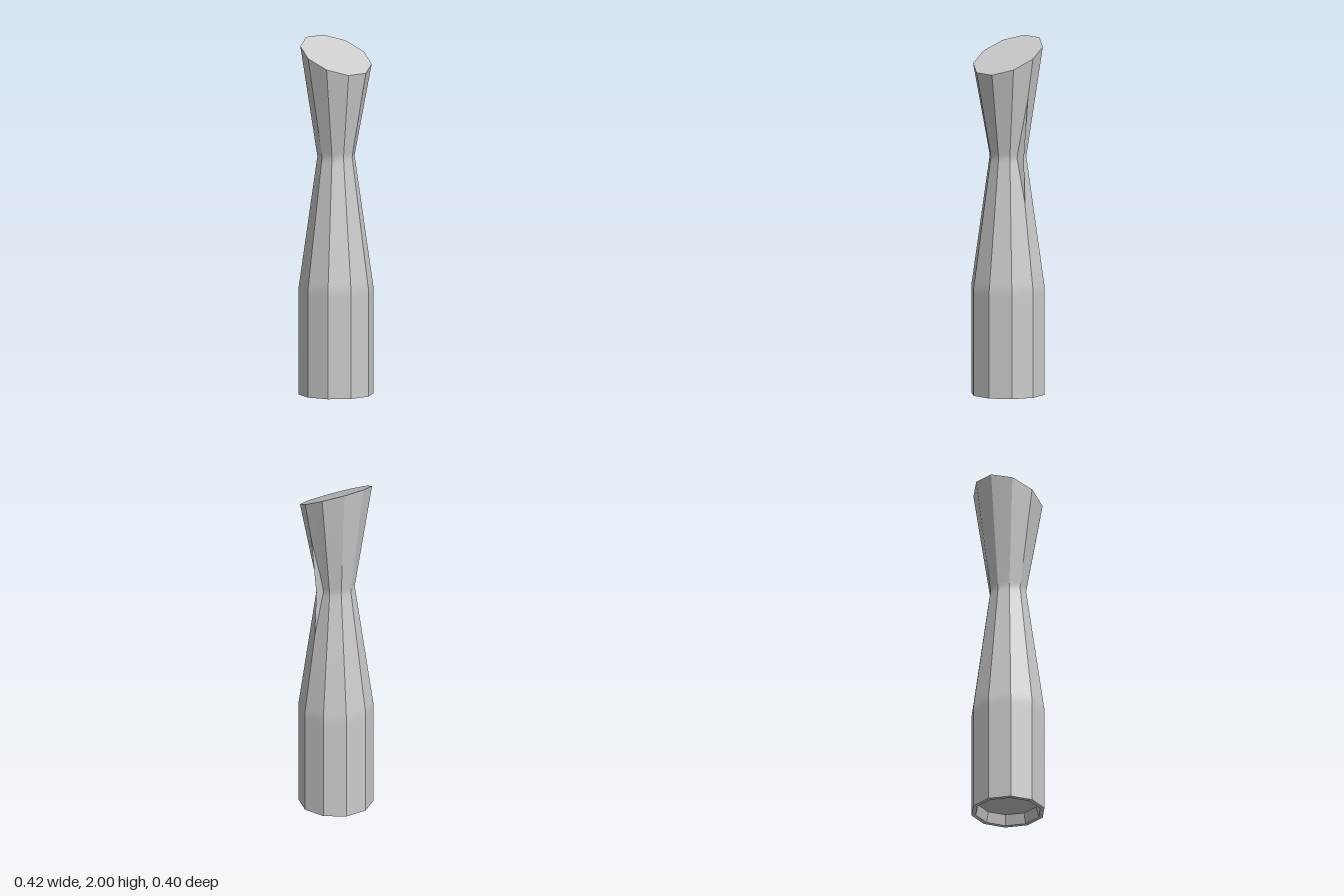
import * as THREE from 'three';
import { toCreasedNormals } from 'three/addons/utils/BufferGeometryUtils.js';

const SIDES = 10;
const material = new THREE.MeshStandardMaterial({ color: 0xcccccc, side: THREE.DoubleSide });

// A ten-sided ring; tilt slopes it down towards the front
function ring(y, r, depth = 1, tilt = 0) {
  return Array.from({ length: SIDES }, (_, i) => {
    const a = (i / SIDES) * Math.PI * 2;
    const z = Math.sin(a) * r * depth;
    return [Math.cos(a) * r, y - tilt * z, z];
  });
}

// Joins successive loops of points with quads
function loft(name, rings) {
  const n = rings[0].length, index = [];
  for (let j = 0; j < rings.length - 1; j++) {
    for (let i = 0; i < n; i++) {
      const a = j * n + i, b = j * n + (i + 1) % n;
      index.push(a, a + n, b, b, a + n, b + n);
    }
  }
  const g = new THREE.BufferGeometry();
  g.setAttribute('position', new THREE.Float32BufferAttribute(rings.flat(2), 3));
  g.setIndex(index);
  const mesh = new THREE.Mesh(toCreasedNormals(g, 0.5), material);
  mesh.name = name;
  return mesh;
}

export function createModel() {
  const group = new THREE.Group();
  group.name = 'waistedColumn';

  // Straight base, tapering neck, narrow waist and flared head;
  // close rings soften the two bends
  const top = ring(1.91, 0.208, 0.9, 0.5);
  group.add(loft('column', [
    ring(0, 0.209), ring(0.57, 0.209), ring(0.61, 0.209), ring(0.65, 0.203),
    ring(1.31, 0.109), ring(1.34, 0.104), ring(1.37, 0.109, 0.995), top,
  ]));

  // Slanted flat top
  group.add(loft('slantedTop', [top, ring(1.91, 0)]));

  // Rim and shallow hollow underneath
  group.add(loft('hollowBase', [ring(0.06, 0), ring(0.06, 0.17), ring(0, 0.185), ring(0, 0.209)]));

  // Slim pointed web bridging the waist on the left side
  const fin = (y, x, w, back) => [[back, y, -w], [x, y, 0], [back, y, w]];
  group.add(loft('waistWeb', [
    fin(1.07, 0.143, 0, 0.14), fin(1.34, 0.133, 0.022, 0.095), fin(1.7, 0.168, 0, 0.165),
  ]));

  return group;
}
